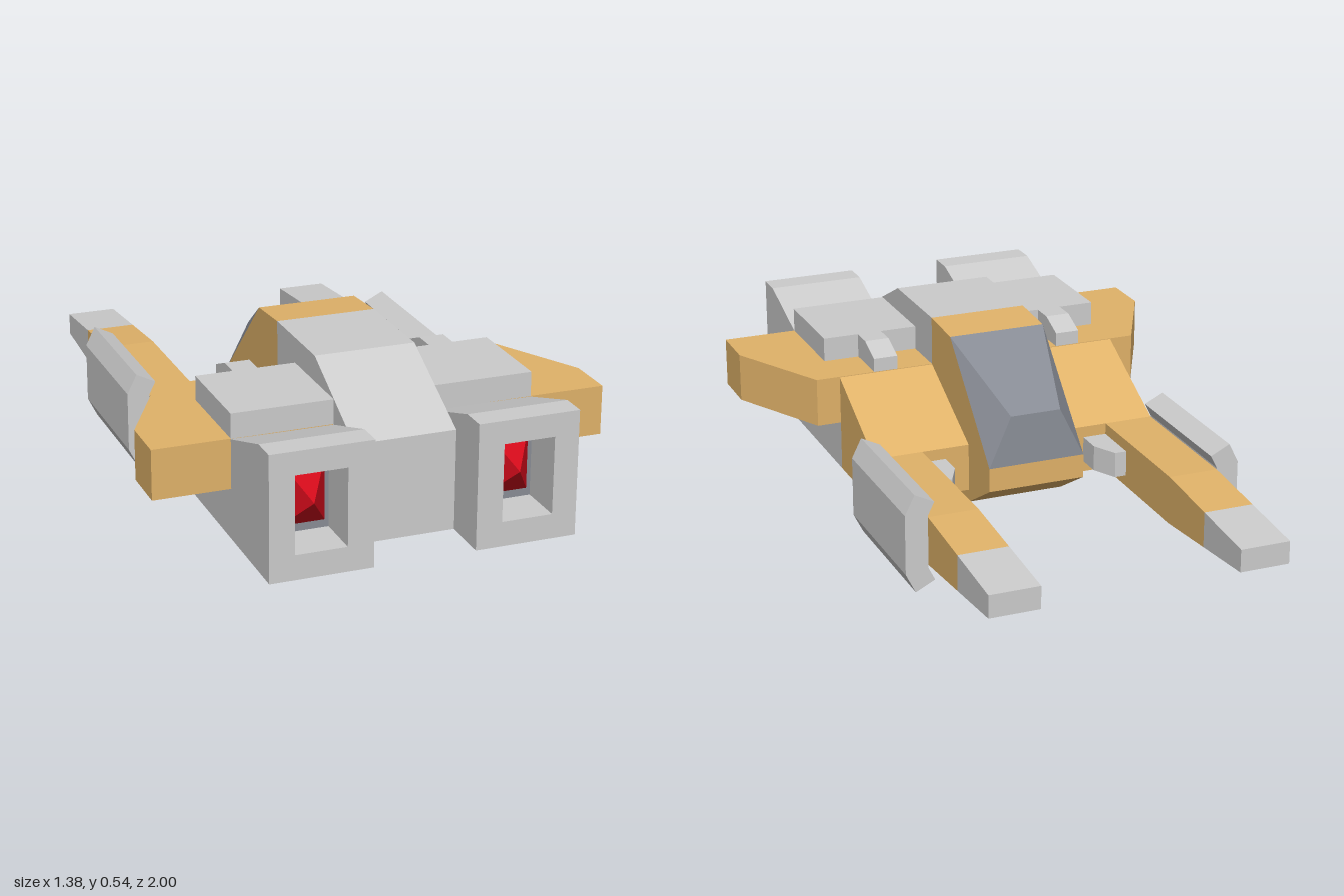
import * as THREE from 'three';

const material = (color) => new THREE.MeshStandardMaterial({ color, flatShading: true });
const toShape = (points) => new THREE.Shape(points.map(([a, b]) => new THREE.Vector2(a, b)));
const extrude = (points, depth) =>
  new THREE.ExtrudeGeometry(toShape(points), { depth, bevelEnabled: false });

// Side profile [z, y] swept from x0 to x1
function sweepX(profile, x0, x1) {
  const geometry = extrude(profile, Math.abs(x1 - x0));
  return geometry.rotateY(-Math.PI / 2).translate(Math.max(x0, x1), 0, 0);
}

// Plan outline [x, z] swept from y0 to y1
const sweepY = (plan, y0, y1) =>
  extrude(plan, y1 - y0).rotateX(Math.PI / 2).translate(0, y1, 0);

// Front outline [x, y] swept from z0 to z1
const sweepZ = (outline, z0, z1) => extrude(outline, z1 - z0).translate(0, 0, z0);

const rect = (a0, b0, a1, b1) => [[a0, b0], [a1, b0], [a1, b1], [a0, b1]];

// Canopy wedge: wide at the base, narrowing to a ridge at the nose
function canopyGeometry() {
  const [a, b, c, d, e, f] = [
    [-0.154, 0.53, 0.07], [0.154, 0.53, 0.07],
    [-0.08, 0.37, -0.24], [0.08, 0.37, -0.24],
    [-0.154, 0.215, -0.25], [0.154, 0.215, -0.25],
  ];
  const triangles = [a, b, d, a, d, c, c, d, f, c, f, e, a, c, e, b, f, d];
  const geometry = new THREE.BufferGeometry();
  geometry.setAttribute('position', new THREE.Float32BufferAttribute(triangles.flat(), 3));
  geometry.computeVertexNormals();
  return geometry;
}

export function createModel() {
  const model = new THREE.Group();
  model.name = 'spacecraft';
  const grey = material(0xcccccc);
  const orange = material(0xe0b269);
  const dark = material(0x888c95);
  const red = material(0xd00a1a);

  const add = (parent, name, geometry, mat) => {
    const mesh = new THREE.Mesh(geometry, mat);
    mesh.name = name;
    parent.add(mesh);
    return mesh;
  };

  // Central hull, nose and canopy
  add(model, 'rearHull', sweepX([
    [0.23, 0], [0.54, 0], [0.845, 0.08], [0.845, 0.385], [0.54, 0.54], [0.23, 0.54],
  ], -0.154, 0.154), grey);
  add(model, 'noseHull', sweepX([
    [0.23, 0], [0.23, 0.54], [0.07, 0.53], [-0.25, 0.215], [-0.25, 0.14], [-0.08, 0.04],
  ], -0.154, 0.154), orange);
  add(model, 'canopy', canopyGeometry(), dark);

  for (const [side, s] of [['left', 1], ['right', -1]]) {
    const half = new THREE.Group();
    half.name = side + 'Side';
    model.add(half);
    const mirror = (points) => points.map(([x, v]) => [x * s, v]);
    const sideways = (name, profile, x0, x1, mat) =>
      add(half, name, sweepX(profile, x0 * s, x1 * s), mat);

    // Engine block with a rectangular exhaust recess at the rear
    const floor = 0.85;
    const roof = [[floor, 0.437], [0.92, 0.46], [1, 0.46]];
    sideways('engineBlock', [
      [0.23, 0.08], [floor, 0.08], [floor, 0.437], [0.69, 0.385], [0.23, 0.385],
    ], 0.154, 0.46, grey);
    sideways('exhaustInnerWall', [[1, 0.08], [floor, 0.08], ...roof], 0.154, 0.232, grey);
    sideways('exhaustOuterWall', [[1, 0.08], [floor, 0.08], ...roof], 0.386, 0.46, grey);
    sideways('exhaustSill', rect(floor, 0.08, 1, 0.155), 0.232, 0.386, grey);
    sideways('exhaustLintel', [[1, 0.39], [floor, 0.39], ...roof], 0.232, 0.386, grey);
    sideways('exhaustPlate', rect(floor, 0.155, floor + 0.005, 0.39), 0.232, 0.386, dark);

    // Four-sided glowing exhaust
    const glow = new THREE.ConeGeometry(Math.SQRT1_2, 1, 4, 1)
      .rotateY(Math.PI / 4).rotateX(Math.PI / 2).scale(0.13, 0.19, 0.09);
    add(half, 'exhaustGlow', glow, red).position.set(0.309 * s, 0.273, floor + 0.05);

    // Sloping shoulder, forward prong and its tip
    sideways('shoulder', [
      [0.23, 0.08], [0.23, 0.385], [-0.08, 0.23], [-0.08, 0.08],
    ], 0.154, 0.46, orange);
    sideways('prong', [
      [-0.08, 0.08], [-0.08, 0.23], [-0.54, 0.23], [-0.77, 0.21], [-0.77, 0.1], [-0.54, 0.08],
    ], 0.305, 0.46, orange);
    sideways('prongTip', [
      [-0.77, 0.1], [-0.77, 0.21], [-1, 0.19], [-1, 0.12],
    ], 0.305, 0.46, grey);

    // Stub wing running across the engine block
    add(half, 'wing', sweepY(mirror([
      [0.155, 0.23], [0.535, 0.23], [0.692, 0.535], [0.692, 0.69], [0.155, 0.69],
    ]), 0.235, 0.387), orange);

    // Top plate with its small forward barrel
    sideways('topPlate', rect(0.38, 0.38, 0.69, 0.462), 0.154, 0.46, grey);
    sideways('topBarrel', [
      [0.38, 0.38], [0.38, 0.462], [0.31, 0.462], [0.23, 0.43], [0.23, 0.38],
    ], 0.27, 0.347, grey);

    // Curved armour panel outside the prong
    add(half, 'sidePanel', sweepZ(mirror([
      [0.46, 0.07], [0.44, 0.03], [0.5, 0], [0.53, 0.06],
      [0.53, 0.245], [0.5, 0.305], [0.44, 0.275], [0.46, 0.235],
    ]), -0.54, -0.08), grey);

    // Small fin on the inner face of the prong
    add(half, 'innerFin', sweepY(mirror([
      [0.305, -0.235], [0.268, -0.235], [0.23, -0.16], [0.23, -0.08], [0.305, -0.08],
    ]), 0.115, 0.195), grey);
  }
  return model;
}
